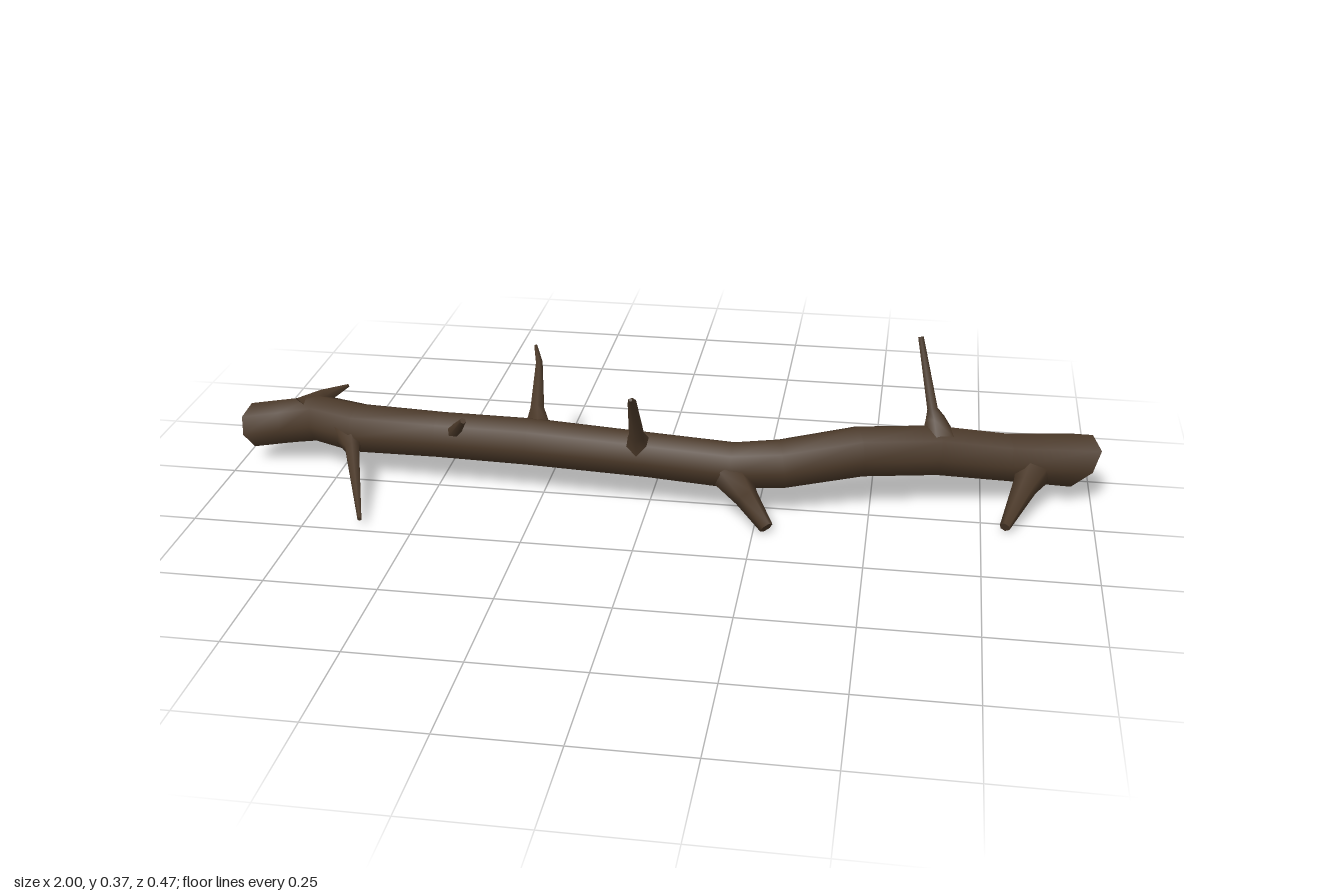
import * as THREE from 'three';

// Smooth tube through rings [x, y, z, radius, frontShear, topShear]; shears slide
// the ring along the axis to give slanted, broken ends. Both ends are capped.
function limb(rings, sides) {
  const centres = rings.map(r => new THREE.Vector3(r[0], r[1], r[2]));
  const pos = [], index = [], n = rings.length;
  rings.forEach(([, , , radius, frontShear = 0, topShear = 0], i) => {
    const axis = centres[Math.min(i + 1, n - 1)].clone().sub(centres[Math.max(i - 1, 0)]).normalize();
    const ref = Math.abs(axis.y) > 0.8 ? new THREE.Vector3(0, 0, -1) : new THREE.Vector3(0, 1, 0);
    const side = axis.clone().cross(ref).normalize();
    const up = side.clone().cross(axis);
    for (let j = 0; j < sides; j++) {
      const a = (j / sides) * Math.PI * 2, c = Math.cos(a), s = Math.sin(a);
      const p = centres[i].clone()
        .addScaledVector(up, radius * c)
        .addScaledVector(side, radius * s)
        .addScaledVector(axis, frontShear * s + topShear * c);
      pos.push(p.x, p.y, p.z);
    }
  });
  for (let i = 0; i < n - 1; i++) {
    for (let j = 0; j < sides; j++) {
      const a = i * sides + j, b = i * sides + (j + 1) % sides;
      index.push(a, b, a + sides, b, b + sides, a + sides);
    }
  }
  // end caps on their own vertices so the rims stay sharp
  for (const ring of [0, n - 1]) {
    const first = pos.length / 3;
    pos.push(...pos.slice(ring * sides * 3, (ring + 1) * sides * 3));
    for (let j = 1; j < sides - 1; j++) {
      if (ring === 0) index.push(first, first + j + 1, first + j);
      else index.push(first, first + j, first + j + 1);
    }
  }
  const geo = new THREE.BufferGeometry();
  geo.setAttribute('position', new THREE.Float32BufferAttribute(pos, 3));
  geo.setIndex(index);
  geo.computeVertexNormals();
  return geo;
}

export function createModel() {
  const group = new THREE.Group();
  group.name = 'branch';
  const bark = new THREE.MeshStandardMaterial({ color: 0x4a3828 });
  bark.name = 'dark bark';
  const add = (name, rings, sides) => {
    const mesh = new THREE.Mesh(limb(rings, sides), bark);
    mesh.name = name;
    group.add(mesh);
  };

  // main stem, bending gently, with slanted ends
  add('stem', [
    [-0.96, 0.09, -0.09, 0.056, -0.03, -0.01],
    [-0.9, 0.098, -0.097, 0.056],
    [-0.81, 0.112, -0.098, 0.057],
    [-0.7, 0.115, -0.052, 0.06],
    [-0.5, 0.12, -0.035, 0.056],
    [-0.28, 0.123, -0.022, 0.057],
    [0, 0.12, 0, 0.054],
    [0.19, 0.113, 0.01, 0.055],
    [0.3, 0.12, 0, 0.058],
    [0.47, 0.14, -0.049, 0.06],
    [0.64, 0.133, -0.097, 0.06],
    [0.8, 0.108, -0.138, 0.058],
    [0.95, 0.095, -0.173, 0.065, 0.032, 0.04],
  ], 8);

  // twigs: flared collar, then a thin taper to a blunt tip
  add('longFrontTwig', [
    [-0.72, 0.11, -0.04, 0.045], [-0.7, 0.092, 0.015, 0.018], [-0.62, 0.025, 0.232, 0.005],
  ], 6);
  add('backKnobTwig', [
    [-0.85, 0.125, -0.1, 0.045], [-0.815, 0.15, -0.14, 0.02], [-0.765, 0.165, -0.18, 0.004],
  ], 6);
  add('smallTopTwig', [
    [-0.47, 0.13, -0.02, 0.028], [-0.455, 0.15, 0.005, 0.016], [-0.42, 0.2, 0.055, 0.007],
  ], 6);
  add('bentBackTwig', [
    [-0.27, 0.14, -0.045, 0.035], [-0.28, 0.175, -0.09, 0.018],
    [-0.295, 0.25, -0.19, 0.009], [-0.312, 0.276, -0.232, 0.004],
  ], 6);
  add('middleTwig', [
    [-0.025, 0.145, 0.015, 0.035], [-0.025, 0.183, 0.037, 0.018],
    [-0.022, 0.3, 0.115, 0.01], [-0.022, 0.312, 0.132, 0.004],
  ], 6);
  add('lowerStub', [
    [0.19, 0.1, 0.03, 0.045], [0.23, 0.065, 0.075, 0.027], [0.28, 0.019, 0.123, 0.016],
  ], 6);
  add('tallTwig', [
    [0.645, 0.16, -0.1, 0.045], [0.635, 0.205, -0.113, 0.024],
    [0.628, 0.225, -0.12, 0.013], [0.592, 0.377, -0.172, 0.007],
  ], 6);
  add('endStub', [
    [0.87, 0.09, -0.14, 0.048], [0.845, 0.07, -0.07, 0.029], [0.802, 0.022, 0.045, 0.012],
  ], 6);
  return group;
}
